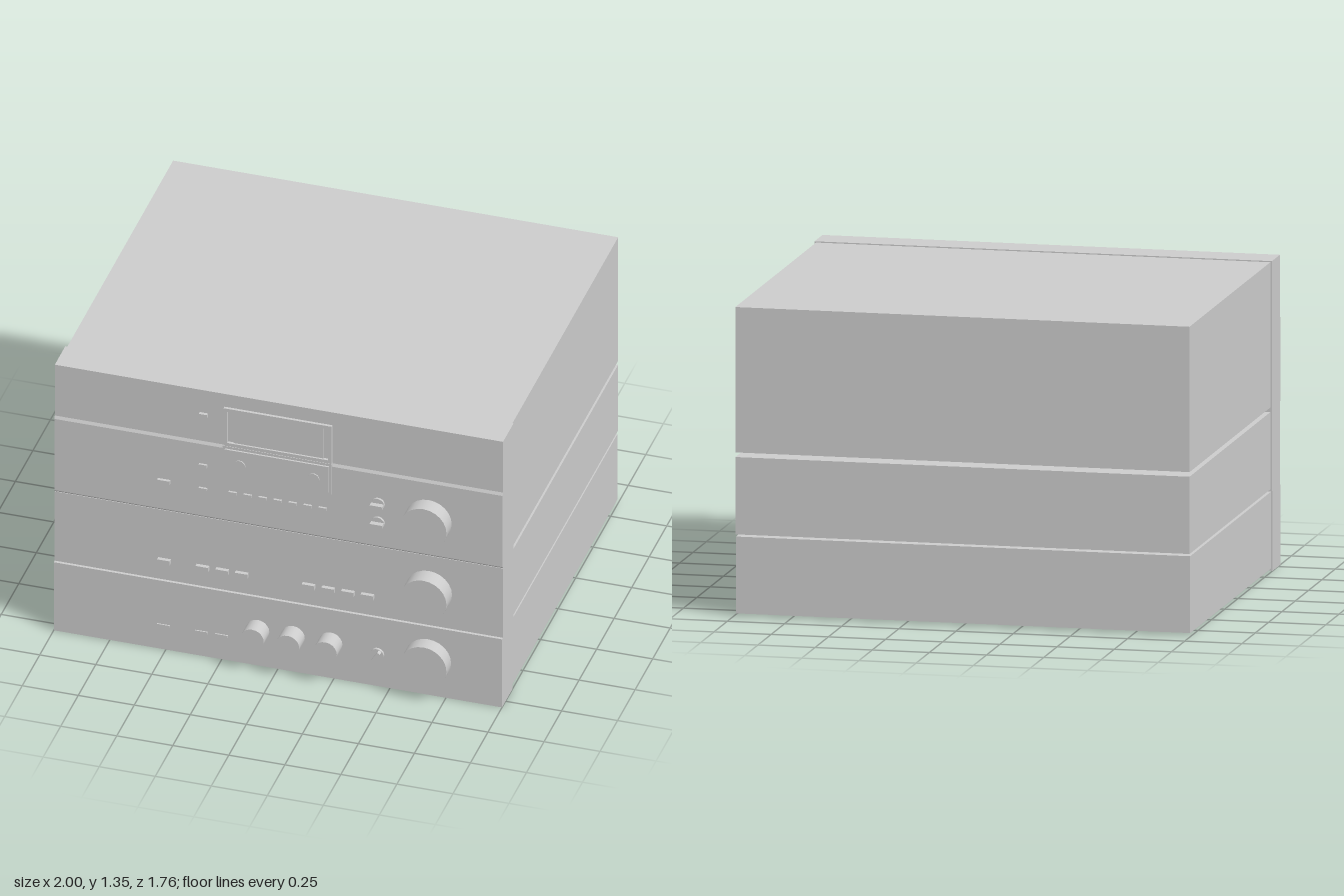
import * as THREE from 'three';

export function createModel() {
  const root = new THREE.Group();
  root.name = 'hifiStack';
  const mat = new THREE.MeshStandardMaterial({ color: 0xcccccc });

  function add(name, geo, x = 0, y = 0, z = 0, parent = root) {
    const m = new THREE.Mesh(geo, mat);
    m.name = name;
    m.position.set(x, y, z);
    parent.add(m);
    return m;
  }
  // Box given by its limits on each axis
  function box(name, x0, x1, y0, y1, z0, z1) {
    return add(name, new THREE.BoxGeometry(x1 - x0, y1 - y0, z1 - z0),
      (x0 + x1) / 2, (y0 + y1) / 2, (z0 + z1) / 2);
  }
  // Cylinder facing +z, from z0 to z1
  function knob(name, x, y, r, z0, z1, sides = 20) {
    const g = new THREE.CylinderGeometry(r, r, z1 - z0, sides).rotateX(Math.PI / 2);
    return add(name, g, x, y, (z0 + z1) / 2);
  }
  // Full-width fascia from a side profile of [z, y] points
  function fascia(name, pts) {
    const s = new THREE.Shape(pts.map(([z, y]) => new THREE.Vector2(-z, y)));
    const g = new THREE.ExtrudeGeometry(s, { depth: 2, bevelEnabled: false });
    g.rotateY(Math.PI / 2).translate(-1, 0, 0);
    add(name, g);
  }
  // Rectangular ring facing +z
  function frame(name, x0, x1, y0, y1, t, z0, z1) {
    const rect = (C, a, b, c, d) => new C([[a, c], [b, c], [b, d], [a, d]].map(p => new THREE.Vector2(...p)));
    const s = rect(THREE.Shape, x0, x1, y0, y1);
    s.holes.push(rect(THREE.Path, x0 + t, x1 - t, y0 + t, y1 - t));
    add(name, new THREE.ExtrudeGeometry(s, { depth: z1 - z0, bevelEnabled: false }), 0, 0, z0);
  }

  // Three cabinets
  box('amplifierCabinet', -0.993, 0.993, 0.01, 0.343, -0.867, 0.65);
  box('tunerCabinet', -0.993, 0.993, 0.355, 0.69, -0.88, 0.635);
  box('deckCabinet', -0.993, 0.993, 0.71, 1.34, -0.88, 0.635);

  // Front panels, the top one with a sloped step across it
  fascia('amplifierPanel', [[0.65, 0], [0.8, 0], [0.8, 0.347], [0.65, 0.347]]);
  fascia('tunerPanel', [[0.635, 0.347], [0.787, 0.347], [0.787, 0.7], [0.635, 0.7]]);
  fascia('deckPanel', [[0.635, 0.7], [0.784, 0.7], [0.792, 0.71], [0.792, 1.073],
    [0.785, 1.086], [0.785, 1.345], [0.635, 1.345]]);

  // Large knobs
  for (const y of [0.18, 0.52, 0.885]) knob('volumeKnob', 0.67, y, 0.103, 0.78, 0.867, 24);
  // Tone knobs
  for (const x of [-0.09, 0.068, 0.236]) knob('toneKnob', x, 0.18, 0.052, 0.79, 0.88);

  // Small selectors with a raised grip
  for (const [y, a] of [[0.925, 0], [0.83, 0], [0.165, 1.0]]) {
    const z = y < 0.3 ? 0.8 : 0.79;
    knob('selectorDial', 0.445, y, 0.03, z - 0.01, z + 0.012);
    const grip = add('selectorGrip', new THREE.BoxGeometry(0.056, 0.014, 0.03), 0.445, y, z + 0.02);
    grip.rotation.z = a;
  }

  // Push buttons: x positions, y, width, height, panel face z, projection
  const rows = [
    [[-0.51], 0.853, 0.056, 0.02, 0.79, 0.016],
    [[-0.335], 0.85, 0.036, 0.01, 0.79, 0.012],
    [[-0.335], 0.968, 0.036, 0.014, 0.79, 0.012],
    [[-0.335], 1.222, 0.036, 0.018, 0.785, 0.015],
    [[0, 1, 2, 3, 4, 5, 6].map(i => -0.203 + i * 0.067), 0.853, 0.036, 0.015, 0.79, 0.012],
    [[-0.51, -0.338, -0.25, -0.163, 0.135, 0.223, 0.311, 0.398], 0.445, 0.056, 0.022, 0.787, 0.018],
    [[-0.51, -0.34, -0.25], 0.122, 0.056, 0.011, 0.8, 0.006],
  ];
  for (const [xs, y, w, h, z, d] of rows)
    for (const x of xs) box('pushButton', x - w / 2, x + w / 2, y - h / 2, y + h / 2, z - 0.01, z + d);

  // Cassette bay: window frame, glass, lower door with two hubs
  frame('windowFrame', -0.243, 0.238, 1.09, 1.28, 0.016, 0.78, 0.798);
  box('windowGlass', -0.2, 0.2, 1.106, 1.264, 0.78, 0.79);
  box('doorBase', -0.247, 0.24, 0.935, 1.09, 0.78, 0.8);
  box('doorPanel', -0.235, 0.228, 0.947, 1.078, 0.79, 0.808);
  for (const x of [-0.168, 0.162]) knob('doorHub', x, 1.008, 0.026, 0.79, 0.813, 16);

  return root;
}
